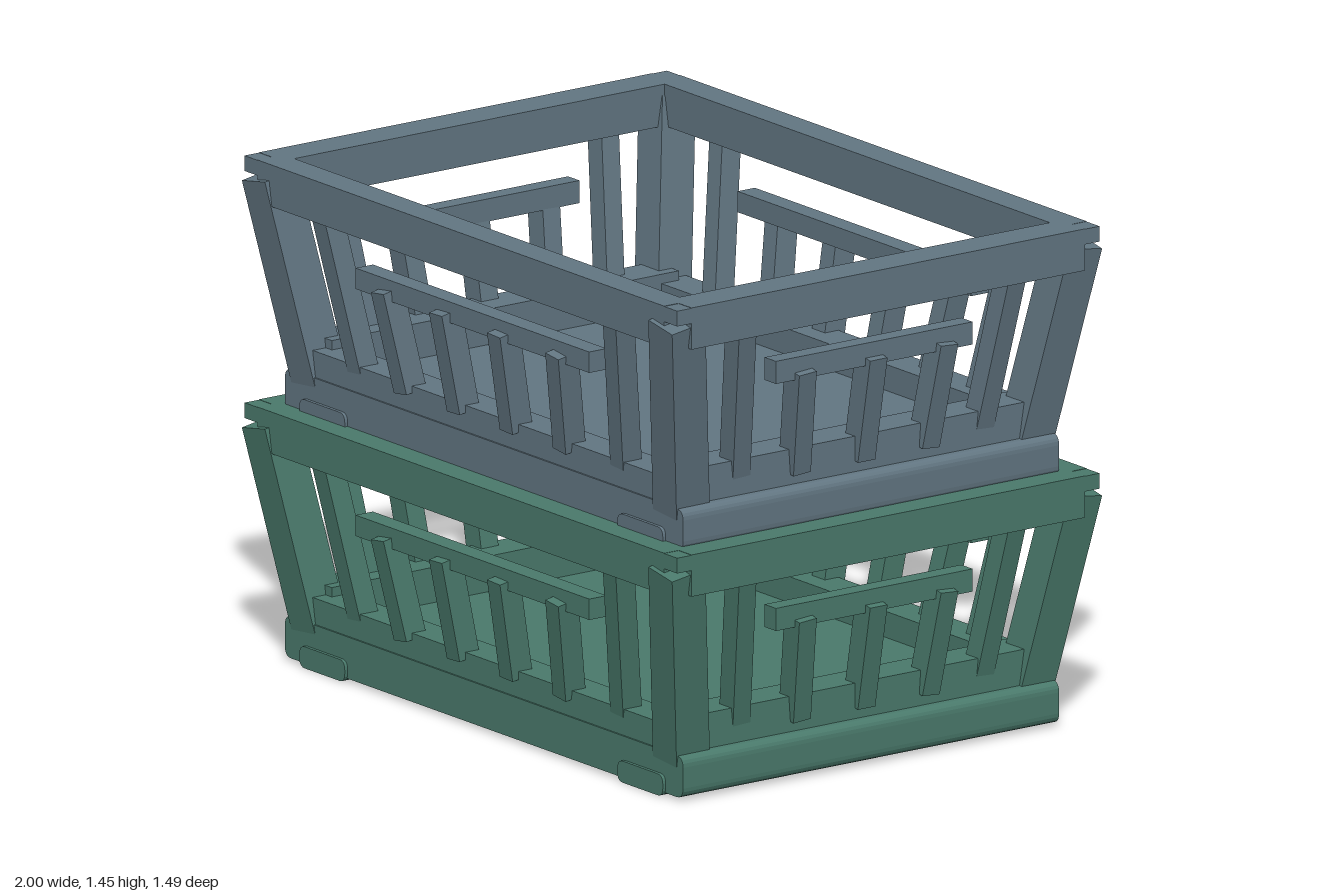
import * as THREE from 'three';

const UP = new THREE.Vector3(0, 1, 0);

// Axis-aligned box from its min and max corners
function block(group, name, mat, min, max) {
  const size = max.map((v, i) => v - min[i]);
  const mesh = new THREE.Mesh(new THREE.BoxGeometry(...size), mat);
  mesh.position.set(...max.map((v, i) => (v + min[i]) / 2));
  mesh.name = name;
  group.add(mesh);
}

// Leaning rectangular bar between two points
function leaningBar(group, name, mat, from, to, width, depth) {
  const a = new THREE.Vector3(...from);
  const dir = new THREE.Vector3(...to).sub(a);
  const length = dir.length();
  const mesh = new THREE.Mesh(new THREE.BoxGeometry(width, length, depth), mat);
  mesh.position.copy(a).addScaledVector(dir, 0.5);
  mesh.quaternion.setFromUnitVectors(UP, dir.normalize());
  mesh.name = name;
  group.add(mesh);
}

// Slab with rounded edges running along z
function roundedSlab(group, name, mat, x0, x1, y0, y1, z0, z1, r) {
  const s = new THREE.Shape();
  s.moveTo(x0 + r, y0);
  s.lineTo(x1 - r, y0);
  s.quadraticCurveTo(x1, y0, x1, y0 + r);
  s.lineTo(x1, y1 - r);
  s.quadraticCurveTo(x1, y1, x1 - r, y1);
  s.lineTo(x0 + r, y1);
  s.quadraticCurveTo(x0, y1, x0, y1 - r);
  s.lineTo(x0, y0 + r);
  s.quadraticCurveTo(x0, y0, x0 + r, y0);
  const geo = new THREE.ExtrudeGeometry(s, { depth: z1 - z0, bevelEnabled: false, curveSegments: 5 });
  geo.translate(0, 0, z0);
  const mesh = new THREE.Mesh(geo, mat);
  mesh.name = name;
  group.add(mesh);
}

function createCrate(name, mat) {
  const g = new THREE.Group();
  g.name = name;

  // Base slab
  roundedSlab(g, 'base', mat, -0.92, 0.92, 0.01, 0.13, -0.65, 0.65, 0.03);

  for (const s of [-1, 1]) {
    const span = (a, b) => [Math.min(s * a, s * b), Math.max(s * a, s * b)];

    // Low walls around the floor
    let [n, f] = span(0.54, 0.645);
    block(g, 'longWall', mat, [-0.86, 0.12, n], [0.86, 0.205, f]);
    [n, f] = span(0.77, 0.885);
    block(g, 'shortWall', mat, [n, 0.12, -0.6], [f, 0.232, 0.6]);

    // Top rim
    [n, f] = span(0.64, 0.73);
    block(g, 'longRim', mat, [-0.94, 0.615, n], [0.94, 0.735, f]);
    [n, f] = span(0.89, 1);
    block(g, 'shortRim', mat, [n, 0.615, -0.68], [f, 0.735, 0.68]);

    // Middle rails
    [n, f] = span(0.63, 0.69);
    block(g, 'longRail', mat, [-0.54, 0.447, n], [0.54, 0.507, f]);
    [n, f] = span(0.882, 0.935);
    block(g, 'shortRail', mat, [n, 0.445, -0.34], [f, 0.51, 0.34]);

    // Short slats carrying the rails
    for (const x of [-0.4, -0.133, 0.133, 0.4]) {
      leaningBar(g, 'longSideSlat', mat, [x * 0.92, 0.185, s * 0.63], [x * 1.01, 0.475, s * 0.683], 0.06, 0.07);
    }
    for (const z of [-0.245, 0, 0.245]) {
      leaningBar(g, 'shortSideSlat', mat, [s * 0.865, 0.165, z * 0.91], [s * 0.922, 0.47, z], 0.07, 0.06);
    }

    for (const t of [-1, 1]) {
      // Tall slats reaching the rim
      leaningBar(g, 'longSideTallSlat', mat, [t * 0.605, 0.17, s * 0.61], [t * 0.675, 0.64, s * 0.69], 0.06, 0.065);
      leaningBar(g, 'shortSideTallSlat', mat, [s * 0.85, 0.17, t * 0.42], [s * 0.945, 0.64, t * 0.468], 0.065, 0.06);

      // Corner post and rim corner block
      leaningBar(g, 'cornerPost', mat, [s * 0.835, 0.1, t * 0.592], [s * 0.941, 0.685, t * 0.687], 0.11, 0.115);
      const [xa, xb] = span(0.9, 1);
      const za = t > 0 ? 0.65 : -0.73;
      block(g, 'rimCorner', mat, [xa, 0.69, za], [xb, 0.734, za + 0.08]);

      // Foot pad
      const [fa, fb] = span(0.63, 0.84);
      const z0 = t > 0 ? 0.36 : -0.66;
      roundedSlab(g, 'foot', mat, fa, fb, 0, 0.062, z0, z0 + 0.3, 0.025);
    }
  }
  return g;
}

export function createModel() {
  const green = new THREE.MeshStandardMaterial({ color: 0x4a7a6c });
  green.name = 'mutedGreen';
  const grey = new THREE.MeshStandardMaterial({ color: 0x627682 });
  grey.name = 'slateGrey';

  const model = new THREE.Group();
  model.name = 'stackedCrates';
  const lower = createCrate('lowerCrate', green);
  const upper = createCrate('upperCrate', grey);
  upper.position.y = 0.71;
  model.add(lower, upper);
  return model;
}
